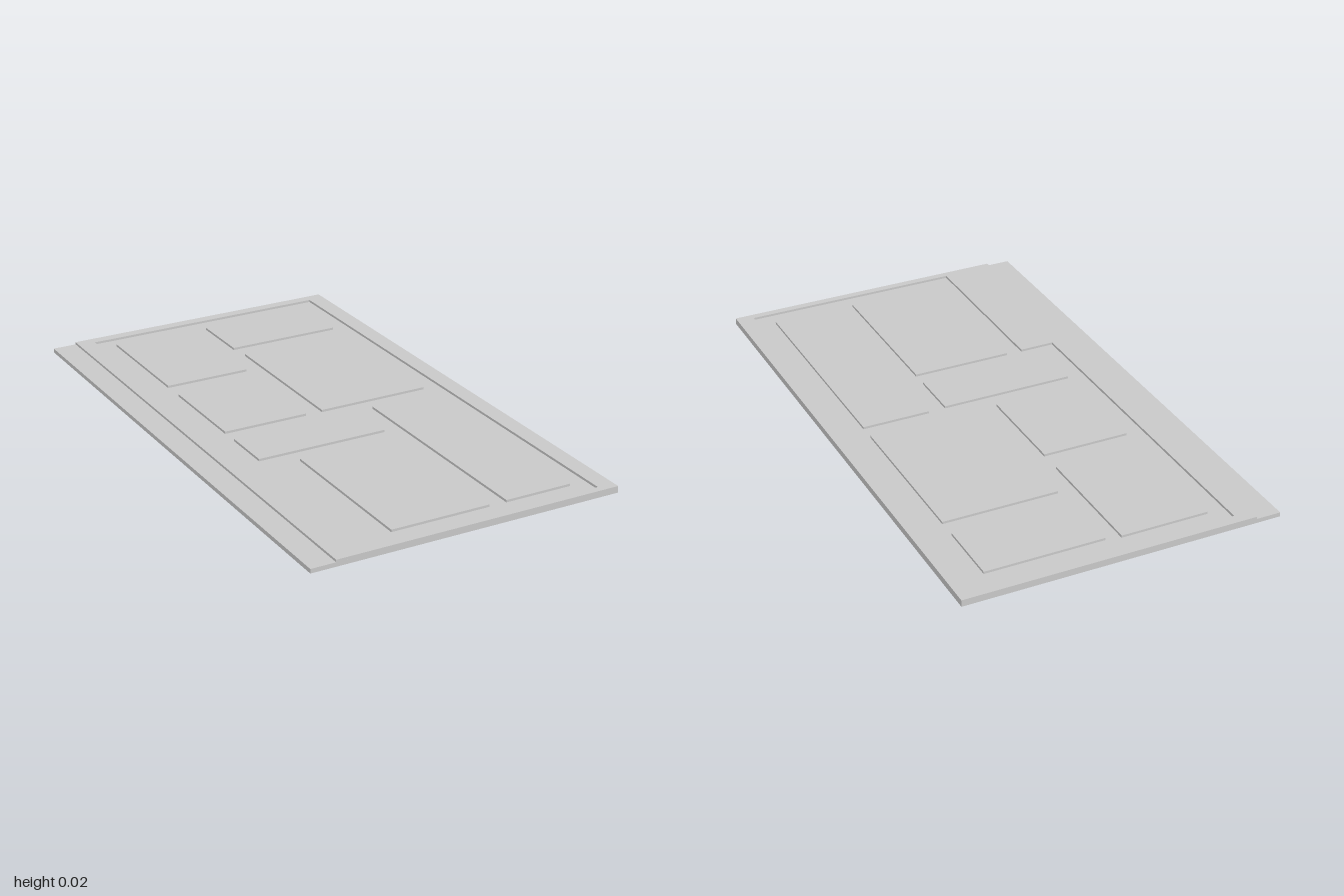
import * as THREE from 'three';

const BASE = 0.0155; // height of the lower level (strip and recessed floor)
const TOP = 0.024;   // height of the border and raised panels
const X = 0.57;

export function createModel() {
  const group = new THREE.Group();
  const material = new THREE.MeshStandardMaterial({ color: 0xcccccc, flatShading: true });

  const add = (name, geometry) => {
    const mesh = new THREE.Mesh(geometry, material);
    mesh.name = name;
    group.add(mesh);
  };

  // Box given by its x, y and z ranges
  const block = (name, x0, x1, y0, y1, z0, z1) =>
    add(name, new THREE.BoxGeometry(x1 - x0, y1 - y0, z1 - z0)
      .translate((x0 + x1) / 2, (y0 + y1) / 2, (z0 + z1) / 2));

  // Outline points from plan coordinates (x, z)
  const plan = (points) => points.map(([x, z]) => new THREE.Vector2(x, -z));

  // Base slab, showing as the side strip and the channel floor
  block('baseSlab', -X, X, 0, BASE, -1, 1);

  // Raised border around the notched recess
  const border = new THREE.Shape(plan([[-0.481, 1], [X, 1], [X, -1], [-0.481, -1]]));
  border.holes.push(new THREE.Path(plan([
    [-0.418, -0.963], [0.508, -0.963], [0.508, 0.974],
    [-0.291, 0.974], [-0.291, 0.317], [-0.418, 0.317],
  ])));
  add('border', new THREE.ExtrudeGeometry(border, { depth: TOP - BASE, bevelEnabled: false })
    .rotateX(-Math.PI / 2).translate(0, BASE, 0));

  // Raised rectangular panels: x0, x1, z0, z1
  const panels = [
    [-0.354, -0.037, -0.905, -0.452],
    [0.016, 0.444, -0.894, -0.659],
    [-0.354, -0.037, -0.365, 0.003],
    [0.026, 0.444, -0.587, 0.003],
    [-0.354, 0.132, 0.069, 0.254],
    [0.196, 0.444, 0.063, 0.91],
    [-0.233, 0.132, 0.317, 0.91],
  ];
  panels.forEach(([x0, x1, z0, z1], i) => block(`panel${i + 1}`, x0, x1, BASE, TOP, z0, z1));

  return group;
}
